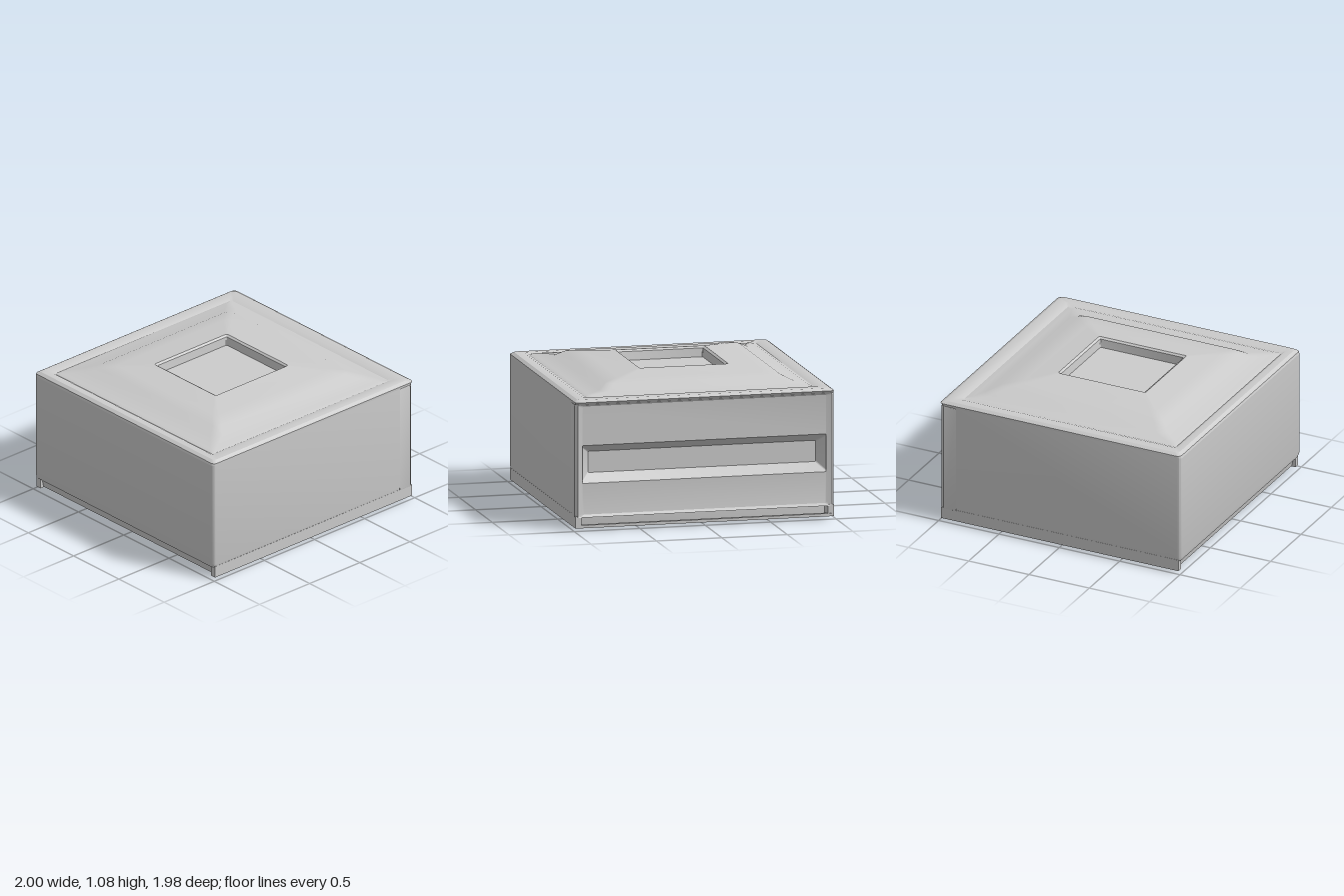
import * as THREE from 'three';
import { toCreasedNormals, mergeVertices } from 'three/addons/utils/BufferGeometryUtils.js';

const material = new THREE.MeshStandardMaterial({ color: 0xcccccc, side: THREE.DoubleSide });

// Corner-rounded rectangle rings [y, x0, x1, z0, z1, radius], skinned in order and capped.
function loft(rings) {
  const pos = [], index = [], steps = 3, n = 4 * (steps + 1);
  for (const [y, x0, x1, z0, z1, r] of rings) {
    for (let c = 0; c < 4; c++) {
      const cx = c === 0 || c === 3 ? x1 - r : x0 + r;
      const cz = c < 2 ? z0 + r : z1 - r;
      for (let s = 0; s <= steps; s++) {
        const a = (c + s / steps) * Math.PI / 2;
        pos.push(cx + r * Math.cos(a), y, cz - r * Math.sin(a));
      }
    }
  }
  for (let i = 0; i < rings.length - 1; i++) {
    for (let j = 0; j < n; j++) {
      const a = i * n + j, b = i * n + (j + 1) % n;
      index.push(a, b, a + n, b, b + n, a + n);
    }
  }
  const last = (rings.length - 1) * n;
  for (let j = 1; j < n - 1; j++) {
    index.push(0, j + 1, j);
    index.push(last, last + j, last + j + 1);
  }
  const g = new THREE.BufferGeometry();
  g.setAttribute('position', new THREE.Float32BufferAttribute(pos, 3));
  g.setIndex(index);
  return g;
}

export function createModel() {
  const model = new THREE.Group();
  const add = (name, geometry) => {
    const mesh = new THREE.Mesh(toCreasedNormals(mergeVertices(geometry), 0.5), material);
    mesh.name = name;
    model.add(mesh);
    return mesh;
  };
  const box = (name, x0, x1, y0, y1, z0, z1) => {
    const g = new THREE.BoxGeometry(x1 - x0, y1 - y0, z1 - z0);
    g.translate((x0 + x1) / 2, (y0 + y1) / 2, (z0 + z1) / 2);
    return add(name, g);
  };

  // Main block, stopping short of the slotted side
  add('body', loft([
    [0.10, -0.99, 0.89, -0.985, 0.985, 0.03],
    [0.13, -1.00, 0.89, -0.99, 0.99, 0.03],
    [0.95, -1.00, 0.89, -0.99, 0.99, 0.03],
  ]));

  // Side panel with a raised rim and a long slot, lofted along x
  const side = (x, y0, y1, z, r = 0.01) => [x, -y1, -y0, -z, z, r];
  const panel = loft([
    side(0.86, 0.10, 0.95, 0.99),
    side(0.965, 0.10, 0.95, 0.99),
    side(0.99, 0.10, 0.95, 0.97),
    side(0.975, 0.12, 0.935, 0.93),
    side(0.975, 0.355, 0.64, 0.935),
    side(0.96, 0.365, 0.63, 0.93),
    side(0.895, 0.42, 0.58, 0.87),
  ]);
  panel.rotateZ(-Math.PI / 2);
  add('slottedSidePanel', panel);

  // Lid: lipped edge, shallow gutter, raised step and a square recess
  add('lid', loft([
    [0.95, -1.00, 0.985, -0.99, 0.99, 0.03],
    [0.968, -0.995, 1.00, -0.99, 0.99, 0.03],
    [0.985, -0.97, 0.97, -0.965, 0.965, 0.03],
    [0.985, -0.92, 0.89, -0.90, 0.90, 0.02],
    [0.974, -0.90, 0.86, -0.87, 0.87, 0.02],
    [0.985, -0.87, 0.81, -0.84, 0.84, 0.03],
    [0.995, -0.74, 0.75, -0.76, 0.73, 0.06],
    [1.036, -0.67, 0.66, -0.67, 0.665, 0.05],
    [1.05, -0.57, 0.54, -0.56, 0.54, 0.04],
    [1.078, -0.385, 0.34, -0.345, 0.335, 0.015],
    [1.065, -0.365, 0.325, -0.33, 0.32, 0.01],
    [1.00, -0.355, 0.32, -0.325, 0.315, 0.01],
  ]));

  // Front and back skirts reaching below the block
  for (const s of [-1, 1]) {
    const inner = s * 0.94, outer = s * 0.988;
    box(s > 0 ? 'frontSkirt' : 'backSkirt', -0.98, 0.985, 0.02, 0.11,
      Math.min(inner, outer), Math.max(inner, outer));
  }

  // Thin rail below the slotted side
  box('lowerRail', 0.955, 0.988, 0.02, 0.042, -0.985, 0.985);

  // Base plate with a bevelled underside
  add('basePlate', loft([
    [0.0, -0.87, 0.82, -0.81, 0.81, 0.01],
    [0.02, -0.93, 0.87, -0.89, 0.89, 0.01],
    [0.025, -0.95, 0.88, -0.95, 0.95, 0.01],
    [0.11, -0.97, 0.88, -0.95, 0.95, 0.01],
  ]));

  return model;
}
